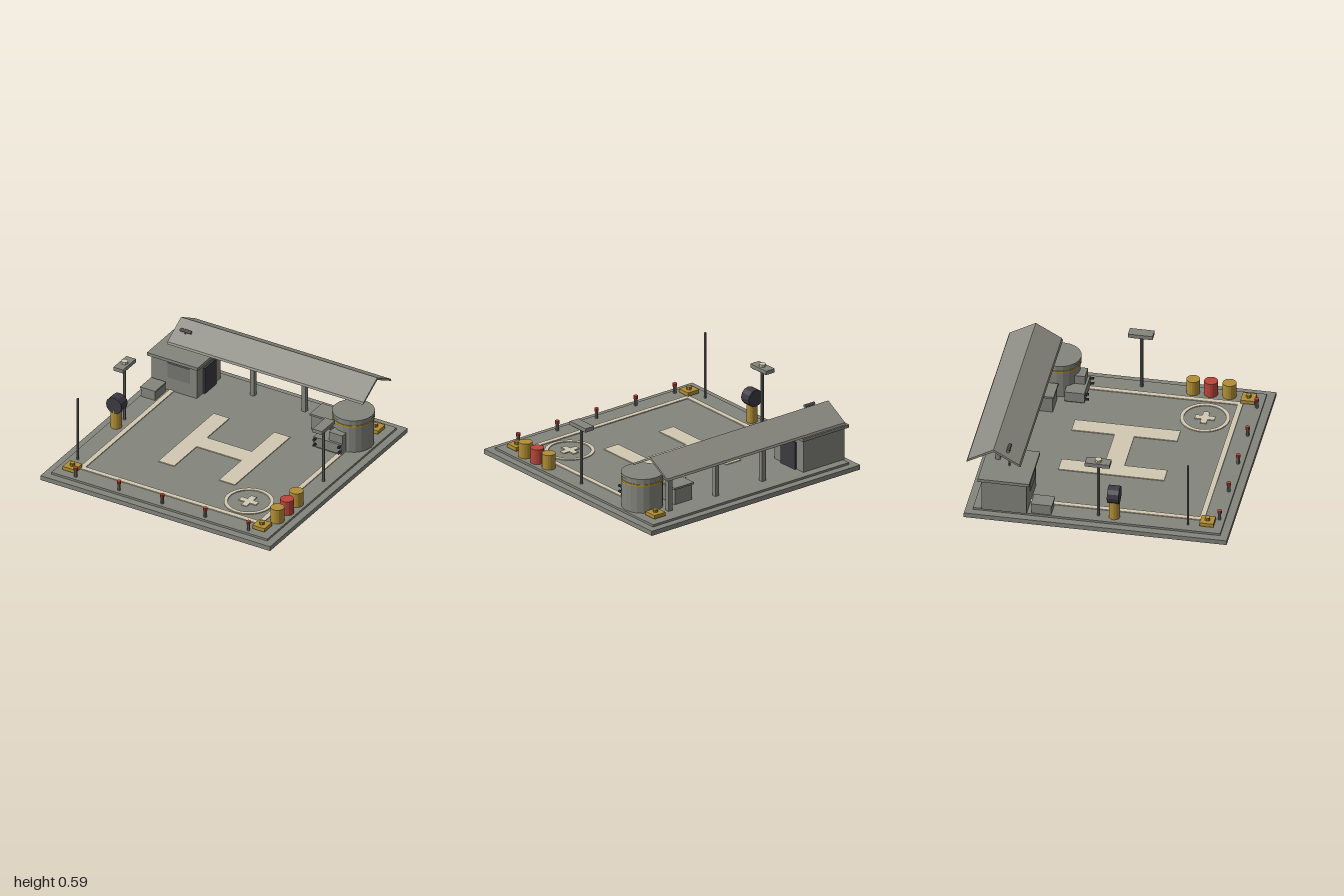
import * as THREE from 'three';

const material = (name, color) => {
  const m = new THREE.MeshStandardMaterial({ color });
  m.name = name;
  return m;
};

export function createModel() {
  const root = new THREE.Group();
  root.name = 'landingPad';

  const concrete = material('concrete grey', 0x84867d);
  const roofGrey = material('roof grey', 0x8d8c83);
  const metal = material('metal grey', 0x757770);
  const cream = material('marking cream', 0xd2c9b1);
  const yellow = material('safety yellow', 0xb18f36);
  const red = material('signal red', 0xbc453b);
  const dark = material('dark rubber', 0x3b3b41);

  const add = (name, geometry, mat, parent = root) => {
    const mesh = new THREE.Mesh(geometry, mat);
    mesh.name = name;
    parent.add(mesh);
    return mesh;
  };
  // Box given by its lowest and highest values on each axis
  const box = (name, mat, x0, x1, y0, y1, z0, z1) => {
    const mesh = add(name, new THREE.BoxGeometry(x1 - x0, y1 - y0, z1 - z0), mat);
    mesh.position.set((x0 + x1) / 2, (y0 + y1) / 2, (z0 + z1) / 2);
    return mesh;
  };
  // Faceted upright cylinder
  const cyl = (name, mat, x, z, r, y0, y1, sides = 12) => {
    const g = new THREE.CylinderGeometry(r, r, y1 - y0, sides).toNonIndexed();
    g.computeVertexNormals();
    const mesh = add(name, g, mat);
    mesh.position.set(x, (y0 + y1) / 2, z);
    return mesh;
  };

  // Two-step slab
  const G = 0.054;
  box('baseSlab', concrete, -0.995, 0.995, 0, 0.037, -0.99, 0.998);
  box('upperSlab', concrete, -0.935, 0.935, 0.037, G, -0.932, 0.938);

  // Painted markings
  const M = G + 0.007;
  for (const s of [-1, 1]) {
    box('sideLine', cream, s * 0.77 - 0.02, s * 0.77 + 0.02, G, M, -0.6, 0.79);
    box('landingMarkBar', cream, s * 0.263 - 0.069, s * 0.263 + 0.069, G, M, -0.4, 0.4);
  }
  box('frontLine', cream, -0.75, 0.75, G, M, 0.75, 0.79);
  box('landingMarkCrossbar', cream, -0.194, 0.194, G, M, -0.075, 0.075);

  const ring = new THREE.Shape().absarc(0, 0, 0.187, 0, Math.PI * 2);
  ring.holes.push(new THREE.Path().absarc(0, 0, 0.158, 0, Math.PI * 2, true));
  const ringMesh = add('circleMarking',
    new THREE.ExtrudeGeometry(ring, { depth: M - G, bevelEnabled: false, curveSegments: 32 }), cream);
  ringMesh.rotation.x = -Math.PI / 2;
  ringMesh.position.set(0.54, G, 0.545);
  box('crossMarkingLong', cream, 0.465, 0.615, G, M, 0.521, 0.569);
  for (const s of [-1, 1]) {
    const z = 0.545 + s * 0.0495;
    box('crossMarkingArm', cream, 0.516, 0.564, G, M, z - 0.0255, z + 0.0255);
  }

  // Gabled shelter roof, extruded along x
  const gable = new THREE.Shape([
    [-0.205, 0.403], [-0.197, 0.42], [0, 0.532], [0.197, 0.42], [0.205, 0.403],
    [0.197, 0.403], [0, 0.512], [-0.197, 0.403],
  ].map(([z, y]) => new THREE.Vector2(z, y)));
  const roof = add('shelterRoof',
    new THREE.ExtrudeGeometry(gable, { depth: 1.7, bevelEnabled: false }), roofGrey);
  roof.rotation.y = Math.PI / 2;
  roof.position.set(-0.85, 0, -0.793);
  for (const x of [-0.67, -0.223, 0.223, 0.67]) {
    box('shelterPost', concrete, x - 0.018, x + 0.018, G, 0.515, -0.808, -0.772);
  }

  // Control hut with panel, door and side bin
  box('hutBody', concrete, -0.945, -0.553, G, 0.313, -0.865, -0.525);
  box('hutRoof', concrete, -0.97, -0.53, 0.313, 0.338, -0.89, -0.5);
  box('hutFrontPanel', metal, -0.805, -0.61, 0.165, 0.29, -0.526, -0.519);
  box('hutDoor', dark, -0.556, -0.536, G, 0.272, -0.785, -0.615);
  box('storageBin', concrete, -0.925, -0.805, G, 0.125, -0.49, -0.342);
  box('storageBinLid', concrete, -0.93, -0.8, 0.125, 0.138, -0.495, -0.335);

  // Antenna on the hut
  cyl('antennaPole', metal, -0.75, -0.69, 0.007, 0.335, 0.49, 8);
  cyl('antennaBar', metal, -0.748, -0.694, 0.013, -0.047, 0.047, 8).rotation.z = Math.PI / 2;
  root.children.at(-1).position.y = 0.492;

  // Fuel tank
  cyl('tankBody', concrete, 0.765, -0.593, 0.154, G, 0.31, 20);
  cyl('tankRim', concrete, 0.765, -0.593, 0.16, 0.308, 0.33, 20);
  cyl('tankBand', yellow, 0.765, -0.593, 0.159, 0.268, 0.284, 20);

  // Pump unit in front of the tank
  box('pumpBase', concrete, 0.55, 0.79, 0.066, 0.147, -0.52, -0.37);
  box('pumpHousing', concrete, 0.675, 0.79, 0.147, 0.217, -0.52, -0.388);
  box('pumpPlinth', metal, 0.565, 0.775, G, 0.066, -0.51, -0.38);
  for (const x of [0.568, 0.783]) {
    for (const y of [0.09, 0.135]) {
      const knob = cyl('pumpKnob', dark, x, -0.357, 0.01, -0.017, 0.017, 8);
      knob.rotation.x = Math.PI / 2;
      knob.position.y = y;
    }
  }

  // Crate under the shelter
  box('crateBody', concrete, 0.407, 0.573, G, 0.178, -0.74, -0.582);
  box('crateLid', concrete, 0.397, 0.583, 0.178, 0.193, -0.75, -0.573);

  // Floodlights on each side
  for (const s of [-1, 1]) {
    const x = s * 0.862;
    cyl('floodlightPole', metal, x, 0.005, 0.012, G, 0.512, 8);
    box('floodlightHead', concrete, x - 0.041, x + 0.041, 0.51, 0.54, -0.092, 0.095);
    box('floodlightLens', roofGrey, x - 0.032, x + 0.032, 0.502, 0.51, -0.075, 0.078);
  }
  cyl('floodlightCap', cream, -0.862, 0.003, 0.027, 0.54, 0.56, 8);

  // Slim mast
  cyl('mast', metal, -0.862, 0.68, 0.008, G, 0.585, 8);

  // Searchlight on a yellow pedestal
  cyl('searchlightPedestal', yellow, -0.86, 0.125, 0.042, G, 0.212);
  const drum = cyl('searchlightDrum', dark, -0.858, 0.122, 0.068, -0.044, 0.044, 12);
  drum.rotation.x = Math.PI / 2;
  drum.position.y = 0.254;

  // Fuel drums
  [[0.395, yellow], [0.53, red], [0.67, yellow]].forEach(([z, m]) =>
    cyl('fuelDrum', m, 0.862, z, 0.052, G, 0.172, 16));

  // Yellow corner lights
  for (const [x, z] of [[-0.823, 0.822], [0.82, 0.822], [0.82, -0.817]]) {
    cyl('cornerLightFoot', yellow, x, z, 0.03, G, 0.065, 8);
    box('cornerLightBase', yellow, x - 0.053, x + 0.053, 0.062, 0.091, z - 0.053, z + 0.053);
    cyl('cornerLightKnob', yellow, x, z, 0.02, 0.091, 0.114, 10);
  }

  // Red edge beacons along the front
  for (let i = -2; i <= 2; i++) {
    cyl('beaconPost', metal, i * 0.374, 0.898, 0.013, G, 0.11, 8);
    cyl('beaconLamp', red, i * 0.374, 0.898, 0.017, 0.11, 0.134, 10);
  }

  return root;
}
